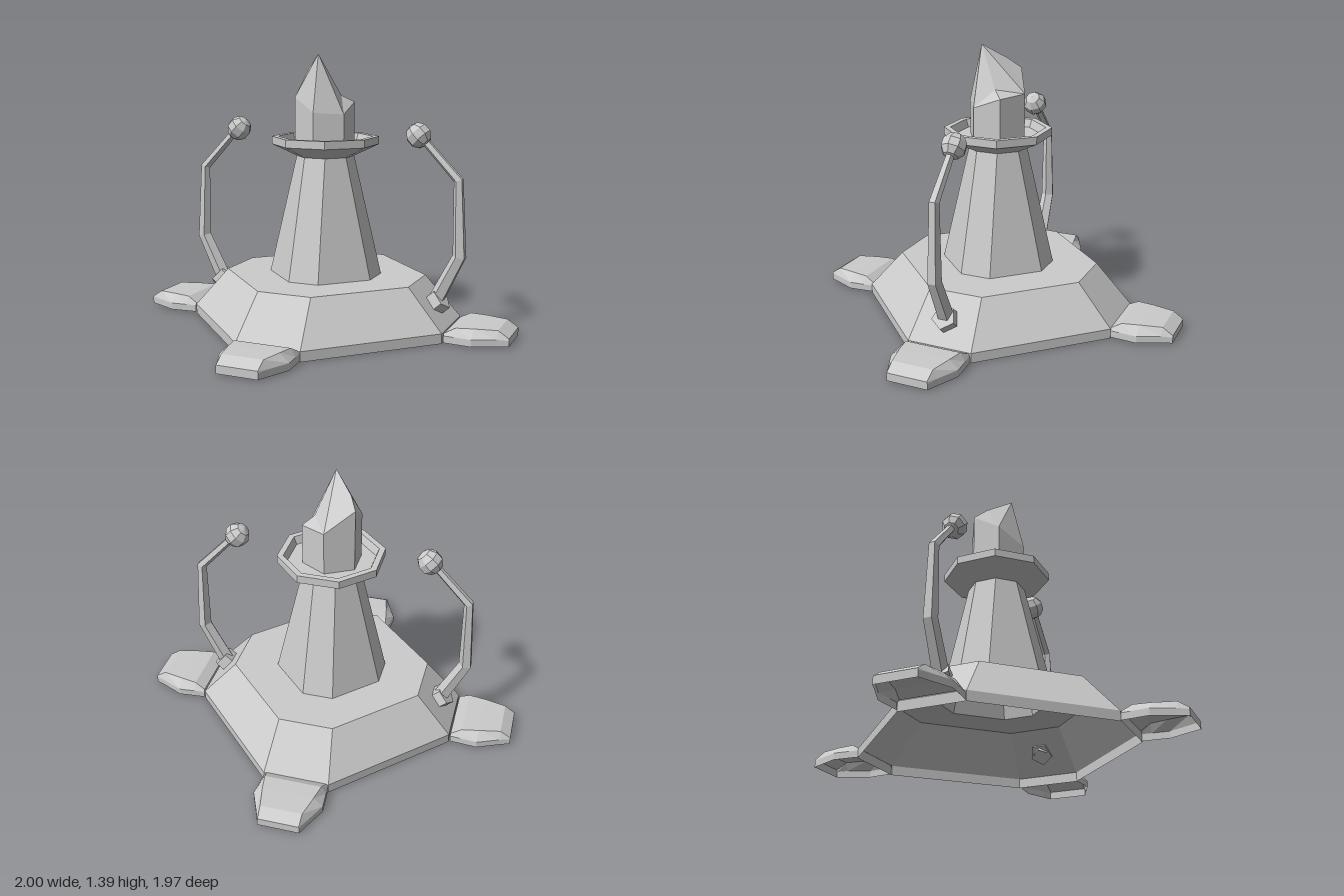
import * as THREE from 'three';

const material = new THREE.MeshStandardMaterial({ color: 0xcccccc, flatShading: true, side: THREE.DoubleSide });

function part(name, geometry) {
  const mesh = new THREE.Mesh(geometry, material);
  mesh.name = name;
  return mesh;
}

// Skin a list of cross-sections (arrays of [x, y, z]); optionally cap the last one
function loft(rings, { closed = true, cap = false } = {}) {
  const n = rings[0].length;
  const index = [];
  for (let i = 0; i < rings.length - 1; i++) {
    for (let j = 0; j < (closed ? n : n - 1); j++) {
      const k = (j + 1) % n;
      const a = i * n + j, b = i * n + k, c = b + n, d = a + n;
      index.push(a, b, c, a, c, d);
    }
  }
  if (cap) {
    const s = (rings.length - 1) * n;
    for (let j = 1; j < n - 1; j++) index.push(s, s + j, s + j + 1);
  }
  return build(rings.flat(), index);
}

function build(points, index) {
  const g = new THREE.BufferGeometry();
  g.setAttribute('position', new THREE.Float32BufferAttribute(points.flat(), 3));
  g.setIndex(index);
  const flat = g.toNonIndexed();
  flat.computeVertexNormals();
  return flat;
}

// Octagon with sides at distance a on the axes, each of half-length b, at height y
const octagon = ([a, b, y]) =>
  [[b, a], [a, b], [a, -b], [b, -a], [-b, -a], [-a, -b], [-a, b], [-b, a]].map(([x, z]) => [x, y, z]);

// Hollow foot pointing to +z: [z, lower half-width, mid height, top half-width, top height]
function footGeometry() {
  const stations = [
    [0.68, 0.165, 0.04, 0.155, 0.05],
    [0.735, 0.17, 0.04, 0.145, 0.08],
    [0.82, 0.177, 0.04, 0.13, 0.082],
    [0.93, 0.127, 0.04, 0.105, 0.08],
    [0.983, 0.105, 0.035, 0.103, 0.045],
  ];
  const rings = stations.map(([z, w, mid, tw, ty]) => [
    [w, 0.005, z], [w, mid, z], [tw, ty, z], [-tw, ty, z], [-w, mid, z], [-w, 0.005, z],
  ]);
  return loft(rings, { closed: false, cap: true });
}

// Five-sided tapering arm through [x, y, radius] points
function armGeometry() {
  const path = [[0.59, 0.14, 0.042], [0.72, 0.4, 0.036], [0.708, 0.78, 0.026], [0.52, 0.98, 0.02]];
  const rings = path.map(([x, y, r], i) => {
    const p = path[Math.max(i - 1, 0)], q = path[Math.min(i + 1, path.length - 1)];
    const len = Math.hypot(q[0] - p[0], q[1] - p[1]);
    const tx = (q[0] - p[0]) / len, ty = (q[1] - p[1]) / len;
    return Array.from({ length: 5 }, (_, j) => {
      const t = (j / 5) * Math.PI * 2;
      const c = r * Math.cos(t), s = r * Math.sin(t);
      return [x - ty * c, y + tx * c, s];
    });
  });
  return loft(rings);
}

// Six-sided crystal with a jagged broken top
function crystalGeometry() {
  const foot = 0.925;
  const rim = [
    [0, 1.1, 0.157], [0.132, 1.09, 0.075], [0.132, 1.145, -0.07],
    [0, 1.155, -0.147], [-0.137, 1.26, -0.07], [-0.137, 1.17, 0.075],
  ];
  const points = [
    ...rim.map(([x, , z]) => [x, foot, z]), ...rim,
    [0, 1.39, 0.09], [-0.1, 1.31, -0.01], [0.08, 1.18, -0.02],
  ];
  const index = [];
  for (let i = 0; i < 6; i++) {
    const k = (i + 1) % 6;
    index.push(i, k, k + 6, i, k + 6, i + 6);
  }
  const [F, FR, BR, B, BL, FL, tip, leftPeak, rightPeak] = [6, 7, 8, 9, 10, 11, 12, 13, 14];
  index.push(
    F, FR, tip, FR, rightPeak, tip, FR, BR, rightPeak, BR, B, rightPeak, rightPeak, B, tip,
    tip, B, leftPeak, B, BL, leftPeak, BL, FL, leftPeak, leftPeak, FL, tip, FL, F, tip,
  );
  return build(points, index);
}

export function createModel() {
  const model = new THREE.Group();
  model.name = 'crystalTower';

  // Hollow base, open below, with its deck running in to the tower foot
  model.add(part('base', loft([
    [0.685, 0.168, 0], [0.685, 0.168, 0.05], [0.503, 0.14, 0.257], [0.28, 0.08, 0.257],
  ].map(octagon))));

  // Tapering tower
  model.add(part('tower', loft([[0.28, 0.08, 0.257], [0.137, 0.056, 0.87]].map(octagon))));

  // Flared collar with a raised rim and sunken floor
  model.add(part('collar', loft([
    [0.137, 0.056, 0.87], [0.255, 0.105, 0.93], [0.255, 0.105, 0.97],
    [0.225, 0.093, 0.97], [0.21, 0.087, 0.93],
  ].map(octagon), { cap: true })));

  model.add(part('crystal', crystalGeometry()));

  // Four feet, the side pair slightly longer
  const foot = footGeometry();
  ['frontFoot', 'leftFoot', 'backFoot', 'rightFoot'].forEach((name, i) => {
    const mesh = part(name, foot);
    mesh.rotation.y = (i * Math.PI) / 2;
    if (i % 2) mesh.scale.z = 1 / 0.983;
    model.add(mesh);
  });

  // Two curved arms, each with a socket on the slope and a ball on the end
  const slopeAngle = Math.atan2(0.182, 0.207);
  for (const [name, turn] of [['leftArm', 0], ['rightArm', Math.PI]]) {
    const arm = new THREE.Group();
    arm.name = name;
    const socket = part('socket', new THREE.CylinderGeometry(0.062, 0.062, 0.06, 5));
    socket.geometry.rotateY(Math.PI / 2);
    socket.position.set(0.612, 0.163, 0);
    socket.rotation.z = slopeAngle - Math.PI / 2;
    const ball = part('ball', new THREE.SphereGeometry(0.065, 8, 5));
    ball.position.set(0.5, 0.993, 0);
    ball.rotation.z = 0.75;
    arm.add(socket, part('stem', armGeometry()), ball);
    arm.rotation.y = turn;
    model.add(arm);
  }
  return model;
}
